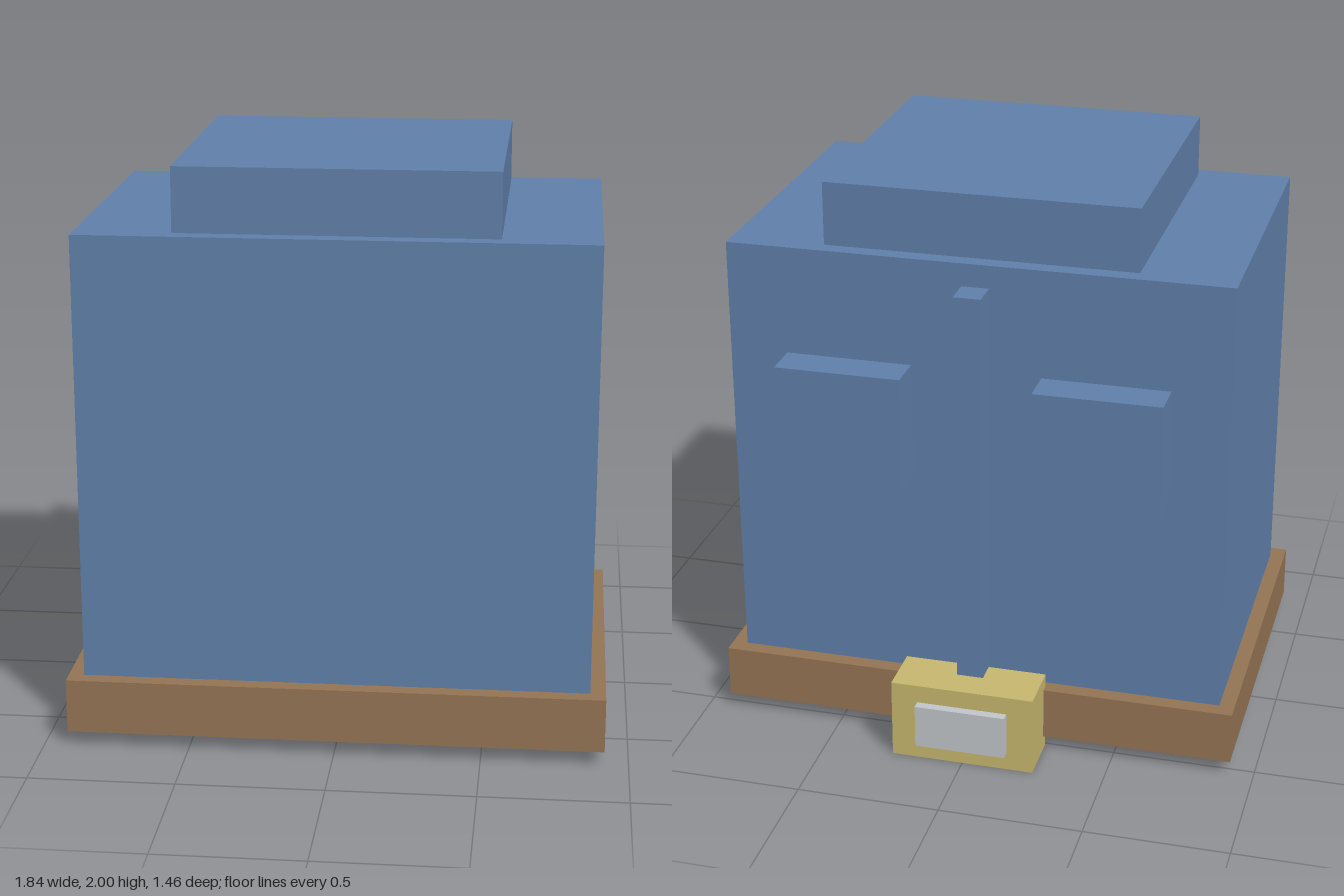
import * as THREE from 'three';

export function createModel() {
  const model = new THREE.Group();
  model.name = 'blockTorso';

  const material = (name, color) => {
    const m = new THREE.MeshStandardMaterial({ color });
    m.name = name;
    return m;
  };
  const blue = material('blue', 0x6080aa);
  const brown = material('brown', 0x947454);
  const brass = material('brass', 0xc8b76f);
  const silver = material('silver', 0xc2c5c9);

  // Box given by its lower and upper limits on each axis
  const addBox = (name, mat, [x0, x1], [y0, y1], [z0, z1]) => {
    const mesh = new THREE.Mesh(new THREE.BoxGeometry(x1 - x0, y1 - y0, z1 - z0), mat);
    mesh.position.set((x0 + x1) / 2, (y0 + y1) / 2, (z0 + z1) / 2);
    mesh.name = name;
    model.add(mesh);
  };

  // Main body and raised block on top
  addBox('body', blue, [-0.865, 0.865], [0.037, 1.78], [-0.485, 0.675]);
  addBox('collar', blue, [-0.538, 0.538], [1.78, 2], [-0.428, 0.615]);

  // Band around the base
  addBox('belt', brown, [-0.918, 0.918], [0.052, 0.24], [-0.54, 0.73]);

  // Raised strip and pair of pads on the back face
  addBox('strip', blue, [-0.047, 0.047], [0.2, 1.7], [-0.588, -0.485]);
  for (const side of [-1, 1]) {
    const limits = [side * 0.225, side * 0.663].sort((a, b) => a - b);
    addBox(side > 0 ? 'leftPad' : 'rightPad', blue, limits, [0.99, 1.4], [-0.618, -0.485]);
  }

  // Buckle with its face plate
  addBox('buckle', brass, [-0.253, 0.253], [0, 0.287], [-0.698, -0.51]);
  addBox('bucklePlate', silver, [-0.16, 0.16], [0.065, 0.222], [-0.73, -0.698]);

  return model;
}
